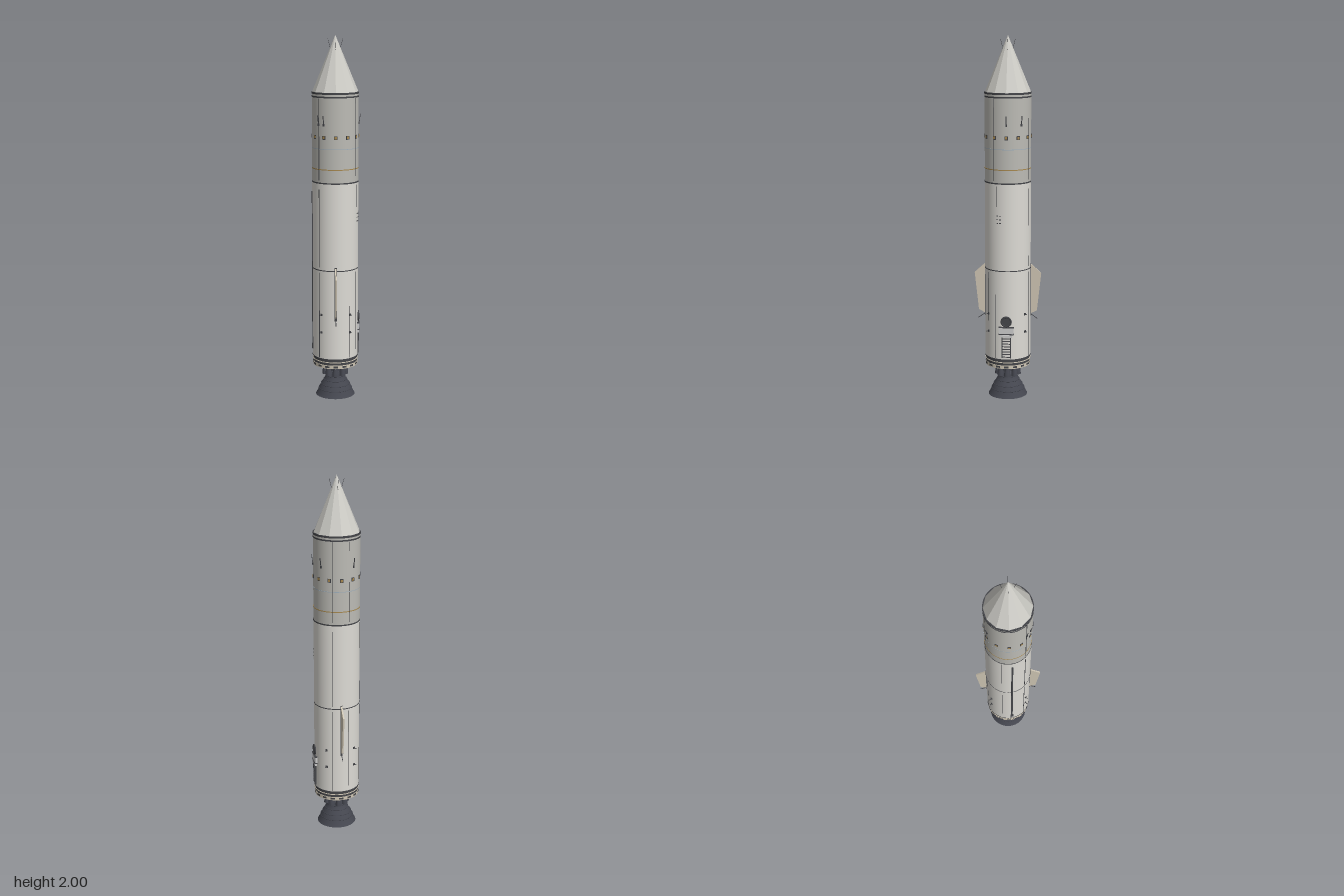
import * as THREE from 'three';
import { toCreasedNormals } from 'three/addons/utils/BufferGeometryUtils.js';

const CX = -0.004; // hull axis
const R = 0.126;
const mat = (color, extra = {}) => new THREE.MeshStandardMaterial({ color, ...extra });

export function createModel() {
  const root = new THREE.Group();
  const hull = mat(0xdddbd5), upper = mat(0xbcbbb5), dark = mat(0x45464a);
  const gold = mat(0xa8894f), beige = mat(0xcfc6b4), blue = mat(0x9fb0bd);
  const engine = mat(0x454750, { side: THREE.DoubleSide });
  const grey = mat(0xcccccc);
  const coneMat = mat(0xcfcec8, { flatShading: true });
  const axis = new THREE.Group();
  axis.name = 'rocket';
  axis.position.x = CX;
  root.add(axis);

  function add(name, geo, material, x = 0, y = 0, z = 0, parent = axis) {
    const m = new THREE.Mesh(geo, material);
    m.name = name;
    m.position.set(x, y, z);
    parent.add(m);
    return m;
  }
  // group turned by an angle from the front, so local +z points outward
  function spoke(name, degrees) {
    const g = new THREE.Group();
    g.name = name;
    g.rotation.y = THREE.MathUtils.degToRad(degrees);
    axis.add(g);
    return g;
  }
  const box = (w, h, d) => new THREE.BoxGeometry(w, h, d);
  const rod = (r, h, n = 8) => new THREE.CylinderGeometry(r, r, h, n);
  const lathe = (pts, n = 32) => toCreasedNormals(
    new THREE.LatheGeometry(pts.map(p => new THREE.Vector2(...p)), n), 0.5);
  const band = (name, y0, y1, r, material) =>
    add(name, new THREE.CylinderGeometry(r, r, y1 - y0, 48), material, 0, (y0 + y1) / 2);

  // Hull stages
  band('lowerStage', 0.235, 0.735, R, hull);
  band('middleStage', 0.735, 1.215, R, hull);
  band('upperStage', 1.215, 1.69, R, upper);
  band('engineSkirt', 0.18, 0.2, R - 0.002, beige);
  band('skirtBand', 0.2, 0.235, R - 0.003, dark);
  band('skirtRib', 0.214, 0.218, R, beige);

  // Joint rings
  band('lowerJoint', 0.732, 0.737, R + 0.0008, dark);
  band('upperJoint', 1.212, 1.219, R + 0.0012, dark);
  band('goldRing', 1.287, 1.292, R + 0.001, gold);
  band('blueRing', 1.398, 1.401, R + 0.0005, blue);
  band('noseRingLower', 1.672, 1.68, R + 0.001, dark);
  band('noseRingUpper', 1.69, 1.7, R + 0.0015, dark);
  band('skirtTopRing', 0.23, 0.236, R + 0.001, dark);

  // Faceted nose cone with four flared whip aerials
  add('noseCone', new THREE.ConeGeometry(0.125, 0.302, 12), coneMat, 0, 1.849);
  for (let i = 0; i < 4; i++) {
    const g = spoke('noseAerial', i * 90);
    const whip = add('whip', rod(0.001, 0.06, 5), dark, 0, 1.95, 0.032, g);
    whip.rotation.x = 0.26;
    add('whipFoot', box(0.004, 0.008, 0.01), dark, 0, 1.923, 0.026, g);
  }

  // Lengthwise panel seams: angle, bottom, top, width
  const seams = [
    [-45, 0.24, 0.72, 0.004], [-45, 0.75, 1.18, 0.004], [-45, 1.23, 1.67, 0.004],
    [62, 0.24, 0.72, 0.0015], [65, 0.85, 1.2, 0.0015], [56, 1.23, 1.67, 0.0025],
    [38, 0.24, 0.72, 0.0015], [157, 0.24, 0.72, 0.0025], [157, 0.75, 1.18, 0.0025],
    [157, 1.23, 1.67, 0.0025], [252, 0.24, 0.72, 0.0015], [252, 0.75, 1.2, 0.0015],
    [200, 1.23, 1.67, 0.0015], [200, 0.24, 0.72, 0.0015],
  ];
  for (const [a, y0, y1, w] of seams)
    add('panelSeam', box(w, y1 - y0, 0.002), dark, 0, (y0 + y1) / 2, R, spoke('seam', a));

  // Long cable duct on the right side
  const duct = spoke('cableDuct', -82);
  add('duct', box(0.01, 0.88, 0.007), dark, 0, 0.72, R, duct);
  add('ductFoot', box(0.018, 0.03, 0.01), dark, 0, 0.285, R, duct);

  // Attitude lamps around the upper stage
  for (let i = 0; i < 12; i++) {
    const g = spoke('lamp', i * 30);
    add('lampHousing', box(0.018, 0.02, 0.006), dark, 0, 1.462, R, g);
    add('lampLens', box(0.012, 0.013, 0.004), gold, 0, 1.462, R + 0.002, g);
  }

  // Blade aerials on the upper stage
  for (const a of [90, 128, 212, -45, -30]) {
    const g = spoke('bladeAerial', a);
    const blade = add('blade', box(0.004, 0.055, 0.003), dark, 0, 1.552, R + 0.006, g);
    blade.rotation.x = 0.14;
    add('bladeFoot', box(0.008, 0.012, 0.008), dark, 0, 1.53, R + 0.002, g);
  }

  // Studs on the lower stage
  for (const a of [38, 142, 218, 322])
    for (const y of [0.485, 0.385]) {
      const g = spoke('stud', a);
      add('studBase', box(0.012, 0.012, 0.006), dark, 0, y, R, g);
      add('studPin', rod(0.002, 0.018), dark, 0, y, R + 0.007, g).rotation.x = Math.PI / 2;
    }

  // Front and back fins
  const fin = new THREE.Shape([[0.12, 0.755], [0.132, 0.748], [0.185, 0.7], [0.162, 0.487], [0.12, 0.465]]
    .map(p => new THREE.Vector2(...p)));
  for (const a of [0, 180]) {
    const g = spoke('fin', a);
    const geo = new THREE.ExtrudeGeometry(fin, { depth: 0.008, bevelEnabled: false });
    geo.translate(0, 0, -0.004);
    add('finPlate', geo, beige, 0, 0, 0, g).rotation.y = -Math.PI / 2;
    add('finRoot', box(0.012, 0.3, 0.004), dark, 0, 0.605, R, g);
    add('finStrut', rod(0.002, 0.055, 6), dark, 0, 0.455, 0.142, g).rotation.x = 2.2;
  }

  // Left side: round port, shelf and ladder
  const service = spoke('serviceLadder', 90);
  add('portRim', new THREE.TorusGeometry(0.026, 0.005, 8, 24), dark, 0, 0.452, R + 0.002, service);
  add('portCover', rod(0.024, 0.008, 24), dark, 0, 0.452, R, service).rotation.x = Math.PI / 2;
  add('shelf', box(0.08, 0.036, 0.012), grey, 0, 0.4, R - 0.001, service);
  add('shelfTop', box(0.084, 0.005, 0.016), dark, 0, 0.42, R, service);
  add('shelfBottom', box(0.084, 0.005, 0.016), dark, 0, 0.381, R, service);
  add('shelfBlock', box(0.066, 0.014, 0.012), grey, 0, 0.37, R, service);
  for (const s of [-1, 1]) add('ladderRail', box(0.006, 0.12, 0.009), dark, s * 0.023, 0.305, R, service);
  for (let i = 0; i < 8; i++)
    add('ladderRung', box(0.046, 0.004, 0.005), dark, 0, 0.25 + i * 0.015, R + 0.002, service);

  // Small steps on the middle stage
  const steps = spoke('steps', 71);
  for (let i = 0; i < 3; i++)
    for (const s of [-1, 1])
      add('step', box(0.008, 0.004, 0.006), dark, s * 0.008, 1 + i * 0.02, R, steps);

  // Dark vents around the skirt
  for (let i = 0; i < 16; i++)
    add('skirtVent', box(0.024, 0.01, 0.003), dark, 0, 0.19, R - 0.003, spoke('vent', i * 22.5));

  // Main engine bell with stiffening rings
  add('mainBell', lathe([[0.038, 0.185], [0.04, 0.14], [0.05, 0.125], [0.052, 0.108], [0.064, 0.085],
    [0.08, 0.06], [0.092, 0.035], [0.1, 0.015], [0.109, 0]]), engine);
  add('bellThroat', rod(0.04, 0.01, 24), engine, 0, 0.14);
  for (const [r, y] of [[0.053, 0.108], [0.0645, 0.085], [0.0805, 0.06], [0.0925, 0.035]])
    add('bellRing', new THREE.TorusGeometry(r, 0.002, 6, 32), engine, 0, y).rotation.x = Math.PI / 2;

  // Small steering nozzles
  for (let i = 0; i < 8; i++) {
    const g = spoke('steeringNozzle', i * 45);
    add('nozzle', lathe([[0.009, 0.185], [0.01, 0.165], [0.016, 0.14], [0.018, 0.115]], 16),
      engine, 0, 0, 0.055, g);
    add('nozzleMount', box(0.02, 0.01, 0.03), dark, 0, 0.177, 0.062, g);
  }
  return root;
}
